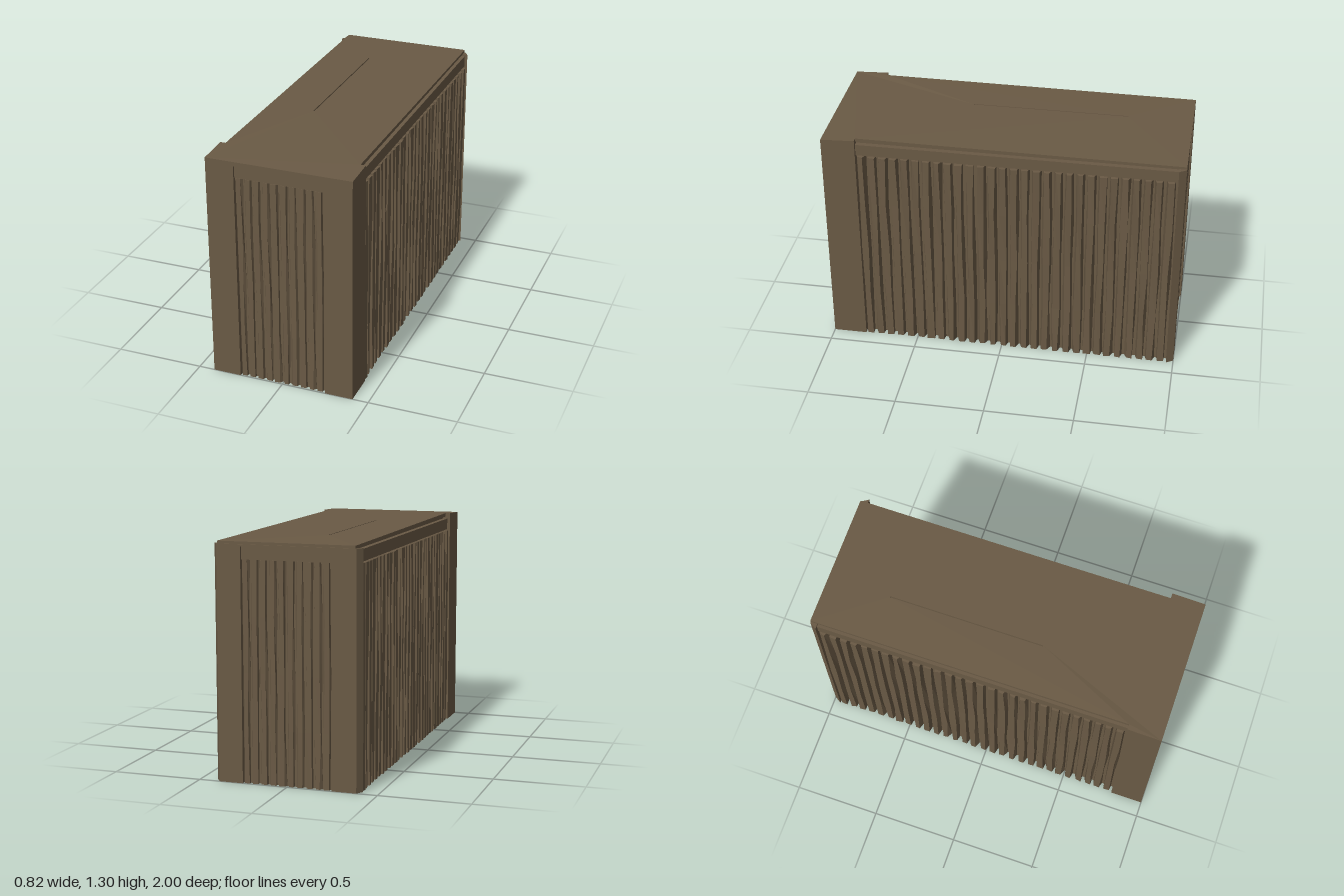
import * as THREE from 'three';

const brown = new THREE.MeshStandardMaterial({ color: 0x6a5a45 });
brown.name = 'weathered brown';

// Repeatable noise in -1..1 taken from a position
const noise = (a, b, c) => {
  const s = Math.sin(a * 127.1 + b * 311.7 + c * 74.7) * 43758.5453;
  return (s - Math.floor(s)) * 2 - 1;
};

function add(parent, name, geometry, x = 0, y = 0, z = 0, turn = 0) {
  const mesh = new THREE.Mesh(geometry, brown);
  mesh.name = name;
  mesh.position.set(x, y, z);
  mesh.rotation.y = turn;
  parent.add(mesh);
}

// Move every vertex by a rule, then refresh the faceted normals
function reshape(geometry, rule) {
  const p = geometry.attributes.position;
  const v = new THREE.Vector3();
  for (let i = 0; i < p.count; i++) {
    v.fromBufferAttribute(p, i);
    rule(v);
    p.setXYZ(i, v.x, v.y, v.z);
  }
  geometry.computeVertexNormals();
  return geometry;
}

// Upright corrugated sheet facing -z, with worn, uneven ribs
function ribbedSheet(length, height, ribs, depth) {
  const shape = new THREE.Shape();
  const step = length / ribs;
  shape.moveTo(-length / 2, -0.03);
  for (let i = 0; i < ribs; i++) {
    const x = -length / 2 + i * step;
    shape.lineTo(x, 0);
    shape.lineTo(x + step * 0.2, 0);
    shape.lineTo(x + step * 0.32, depth);
    shape.lineTo(x + step * 0.86, depth);
  }
  shape.lineTo(length / 2, 0);
  shape.lineTo(length / 2, -0.03);
  const g = new THREE.ExtrudeGeometry(shape, { depth: height, steps: 4, bevelEnabled: false });
  reshape(g, (v) => {
    if (v.y < -0.01 || Math.abs(v.x) > length / 2 - 0.001) return;
    const [x, y, z] = [Math.round(v.x * 1000), Math.round(v.y * 1000), Math.round(v.z * 100)];
    v.x += noise(x, y, z) * step * 0.09;
    v.y -= (noise(z, x, y) + 1) * 0.12 * v.y;
  });
  return g.rotateX(-Math.PI / 2);
}

// End wall outline with a doorway-shaped opening
function endFrame(height, depth) {
  const points = [
    [-0.41, 0], [-0.25, 0], [-0.25, 1.27], [0.25, 1.27],
    [0.25, 0], [0.41, 0], [0.41, height], [-0.41, height],
  ].map(([x, y]) => new THREE.Vector2(x, y));
  return new THREE.ExtrudeGeometry(new THREE.Shape(points), { depth, bevelEnabled: false });
}

export function createModel() {
  const model = new THREE.Group();
  model.name = 'corrugatedContainer';

  // Solid body behind the sheets
  add(model, 'body', new THREE.BoxGeometry(0.73, 1.28, 1.92), 0, 0.64, 0);

  // End walls; the rear corners taper inwards
  add(model, 'frontFrame', endFrame(1.285, 0.19), 0, 0, 0.81);
  const rear = reshape(endFrame(1.28, 0.04), (v) => {
    if (v.z < 0.01 && Math.abs(v.x) > 0.3) v.x *= 0.385 / 0.41;
  });
  add(model, 'backFrame', rear, 0, 0, -1);

  // Ribbed panels and lintels in the two ends
  const endSheet = ribbedSheet(0.5, 1.2, 10, 0.018);
  const lintel = new THREE.BoxGeometry(0.5, 0.07, 0.04);
  for (const [name, s] of [['front', 1], ['back', -1]]) {
    add(model, name + 'Panel', endSheet, 0, 0, s * 0.975, s > 0 ? Math.PI : 0);
    add(model, name + 'Lintel', lintel, 0, 1.235, s * 0.968);
  }

  // Long corrugated sides with a rail above each
  const sideSheet = ribbedSheet(1.77, 1.2, 29, 0.037);
  for (const [name, s] of [['left', 1], ['right', -1]]) {
    add(model, name + 'Side', sideSheet, s * 0.371, 0, -0.075, -s * Math.PI / 2);
    add(model, name + 'Rail', new THREE.BoxGeometry(0.06, 0.065, 1.77), s * 0.363, 1.2375, -0.075);
  }

  // Gently crowned roof with a narrow slit, widening over the front frame
  const roof = new THREE.Shape([
    [-0.41, -1], [0.41, -1], [0.41, -0.81], [0.38, -0.81], [0.38, 1],
    [-0.38, 1], [-0.38, -0.81], [-0.41, -0.81],
  ].map(([x, y]) => new THREE.Vector2(x, y)));
  roof.holes.push(new THREE.Path([
    [-0.113, -0.24], [-0.113, 0.64], [-0.107, 0.64], [-0.107, -0.24],
  ].map(([x, y]) => new THREE.Vector2(x, y))));
  const roofGeometry = new THREE.ExtrudeGeometry(roof, { depth: 0.022, bevelEnabled: false });
  roofGeometry.rotateX(-Math.PI / 2);
  reshape(roofGeometry, (v) => {
    if (v.y > 0.01 && Math.abs(v.z) > 0.9) v.y -= 0.008;
  });
  add(model, 'roof', roofGeometry, 0, 1.281, 0);

  return model;
}
